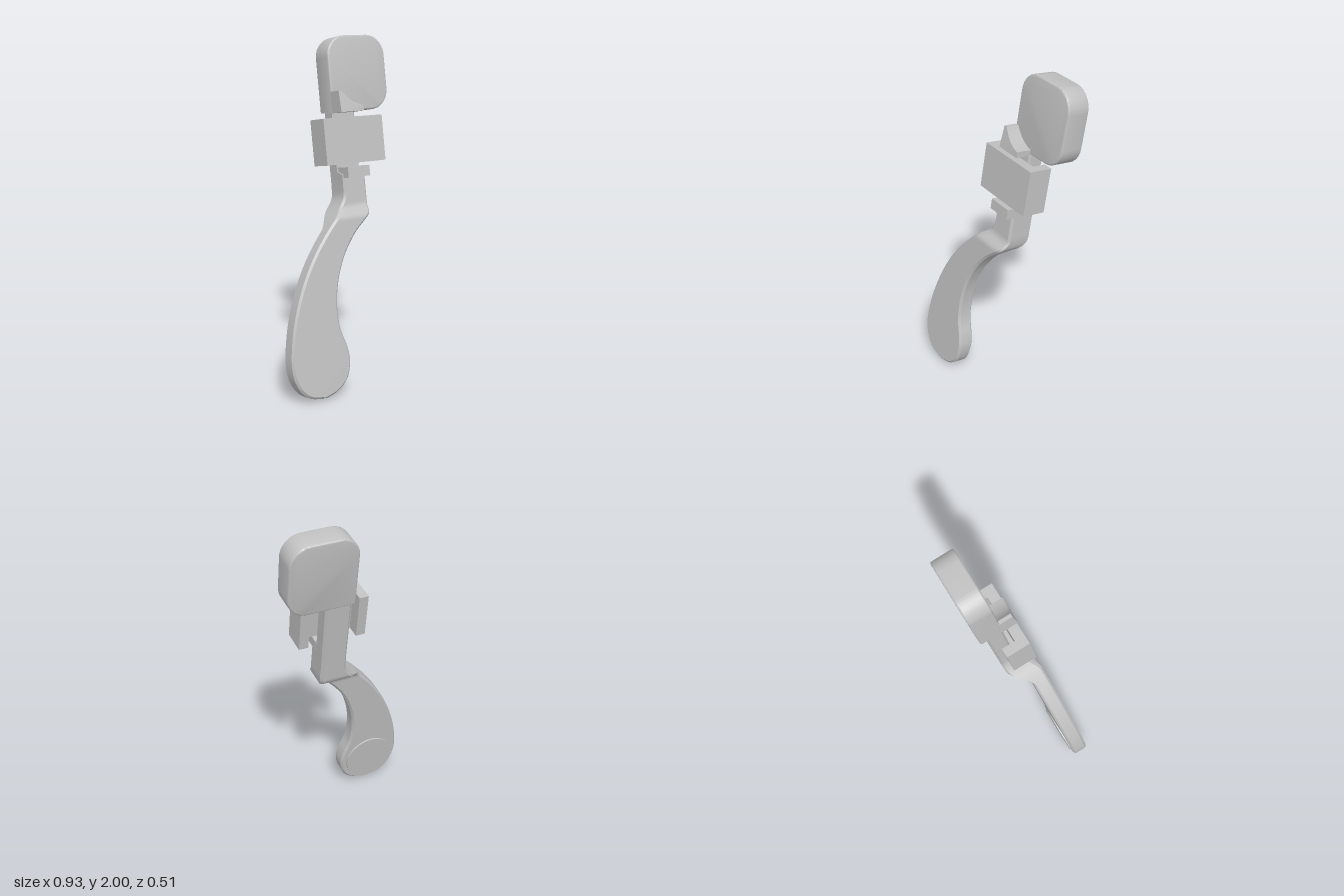
import * as THREE from 'three';
import { toCreasedNormals } from 'three/addons/utils/BufferGeometryUtils.js';

const grey = new THREE.MeshStandardMaterial({ color: 0xc0c0c0 });
grey.name = 'plain grey';

function part(name, geometry, parent) {
  const mesh = new THREE.Mesh(geometry, grey);
  mesh.name = name;
  parent.add(mesh);
  return mesh;
}

// Box given by its limits on each axis
function block(name, [x0, x1], [y0, y1], [z0, z1], parent) {
  const mesh = part(name, new THREE.BoxGeometry(x1 - x0, y1 - y0, z1 - z0), parent);
  mesh.position.set((x0 + x1) / 2, (y0 + y1) / 2, (z0 + z1) / 2);
}

const curve = (pts) => new THREE.CatmullRomCurve3(pts.map(([x, y]) => new THREE.Vector3(x, y, 0)));
const step = THREE.MathUtils.smoothstep;

// Arm and handle: left and right edges joined by bevelled sections, front and back heights follow y
function leverGeometry() {
  const left = curve([[0.037, 1.57], [0.037, 1.3], [0.037, 1.13], [0.033, 1.075], [0.008, 1.03], [-0.083, 0.938],
    [-0.181, 0.826], [-0.278, 0.684], [-0.355, 0.522], [-0.411, 0.339], [-0.431, 0.157], [-0.403, 0.055],
    [-0.34, -0.011], [-0.25, -0.034]]);
  const right = curve([[0.19, 1.57], [0.19, 1.3], [0.19, 1.1], [0.19, 1.03], [0.178, 0.975], [0.141, 0.938],
    [0.062, 0.867], [-0.026, 0.745], [-0.083, 0.603], [-0.105, 0.461], [-0.096, 0.339], [-0.063, 0.238],
    [-0.051, 0.157], [-0.078, 0.055], [-0.148, -0.008], [-0.226, -0.034]]);
  const front = (y) => 0.28 - 0.044 * step(y, 0.95, 1.03) - 0.05 * step(y, 1.2, 1.22);
  const back = (y) => 0.188 - 0.1 * step(y, 0.89, 1.02);
  const rows = 110, cols = 6, bevel = 0.012;
  const pos = [], idx = [];
  const put = (p, z) => pos.push(p.x, p.y, z);
  for (let j = 0; j <= rows; j++) {
    const t = j / rows;
    const l = left.getPointAt(t), r = right.getPointAt(t);
    const tl = left.getTangentAt(t), tr = right.getTangentAt(t);
    const li = l.clone().add(new THREE.Vector3(-tl.y, tl.x, 0).multiplyScalar(bevel));
    const ri = r.clone().add(new THREE.Vector3(tr.y, -tr.x, 0).multiplyScalar(bevel));
    for (let k = 0; k <= cols; k++) {
      const p = li.clone().lerp(ri, k / cols);
      put(p, back(p.y));
    }
    put(r, back(r.y) + bevel);
    put(r, front(r.y) - bevel);
    for (let k = 0; k <= cols; k++) {
      const p = ri.clone().lerp(li, k / cols);
      put(p, front(p.y));
    }
    put(l, front(l.y) - bevel);
    put(l, back(l.y) + bevel);
  }
  const n = 2 * (cols + 1) + 4;
  for (let j = 0; j < rows; j++) {
    for (let k = 0; k < n; k++) {
      const a = j * n + k, b = j * n + (k + 1) % n;
      idx.push(a, b, b + n, a, b + n, a + n);
    }
  }
  for (let k = 1; k < n - 1; k++) {
    const e = rows * n;
    idx.push(0, k + 1, k, e, e + k, e + k + 1);
  }
  const g = new THREE.BufferGeometry();
  g.setAttribute('position', new THREE.Float32BufferAttribute(pos, 3));
  g.setIndex(idx);
  return toCreasedNormals(g, 0.5);
}

// Thumb pad: three rounded corners, square where it meets the arm
function padGeometry() {
  const b = 0.01, x0 = 0.037 + b, x1 = 0.432 - b, y0 = 1.563 + b, y1 = 1.997 - b, r = 0.11;
  const s = new THREE.Shape();
  s.moveTo(x0, y0);
  s.lineTo(x1 - r, y0);
  s.absarc(x1 - r, y0 + r, r, -Math.PI / 2, 0);
  s.absarc(x1 - r, y1 - r, r, 0, Math.PI / 2);
  s.absarc(x0 + r, y1 - r, r, Math.PI / 2, Math.PI);
  s.lineTo(x0, y0);
  const g = new THREE.ExtrudeGeometry(s, {
    depth: 0.137 - 2 * b, bevelThickness: b, bevelSize: b, bevelSegments: 3, curveSegments: 14,
  });
  g.translate(0, 0, 0.05 + b);
  return toCreasedNormals(g, 0.6);
}

// Upper hook: a scooped wedge, its front leaning back towards the top
function hookGeometry() {
  const s = new THREE.Shape();
  s.moveTo(0.037, 1.555);
  s.lineTo(0.19, 1.555);
  s.lineTo(0.19, 1.588);
  s.quadraticCurveTo(0.105, 1.605, 0.058, 1.678);
  s.lineTo(0.037, 1.678);
  s.closePath();
  const g = new THREE.ExtrudeGeometry(s, { depth: 0.1, bevelEnabled: false, curveSegments: 12 });
  const p = g.attributes.position;
  for (let i = 0; i < p.count; i++) {
    const lean = 0.15 * Math.max(0, p.getY(i) - 1.588);
    p.setZ(i, p.getZ(i) > 0.05 ? 0.278 - lean : 0.178);
  }
  return toCreasedNormals(g, 0.5);
}

// Clip: a channel open to the back, wrapped round the arm
function clipGeometry() {
  const s = new THREE.Shape();
  const profile = [[-0.085, -0.272], [0.315, -0.272], [0.315, -0.132], [0.26, -0.132],
    [0.26, -0.212], [-0.03, -0.212], [-0.03, -0.132], [-0.085, -0.132]];
  s.setFromPoints(profile.map(([x, y]) => new THREE.Vector2(x, y)));
  const g = new THREE.ExtrudeGeometry(s, { depth: 0.263, bevelEnabled: false });
  g.rotateX(-Math.PI / 2);
  g.translate(0, 1.263, 0);
  return g;
}

export function createModel() {
  const model = new THREE.Group();
  model.name = 'lever';
  const body = new THREE.Group();
  body.name = 'tiltedBody';
  body.rotation.set(-0.167, -0.166, 0, 'YXZ');
  model.add(body);

  part('armAndHandle', leverGeometry(), body);
  part('thumbPad', padGeometry(), body);
  part('upperHook', hookGeometry(), body);
  part('clip', clipGeometry(), body);
  block('lowerLip', [0.043, 0.192], [1.183, 1.243], [0.178, 0.281], body);

  // Round cap on the back of the handle
  const cap = part('backCap', new THREE.CylinderGeometry(0.155, 0.15, 0.03, 48), body);
  cap.rotation.x = Math.PI / 2;
  cap.rotation.x *= 1;
  cap.position.set(-0.24, 0.16, 0.195);
  return model;
}
